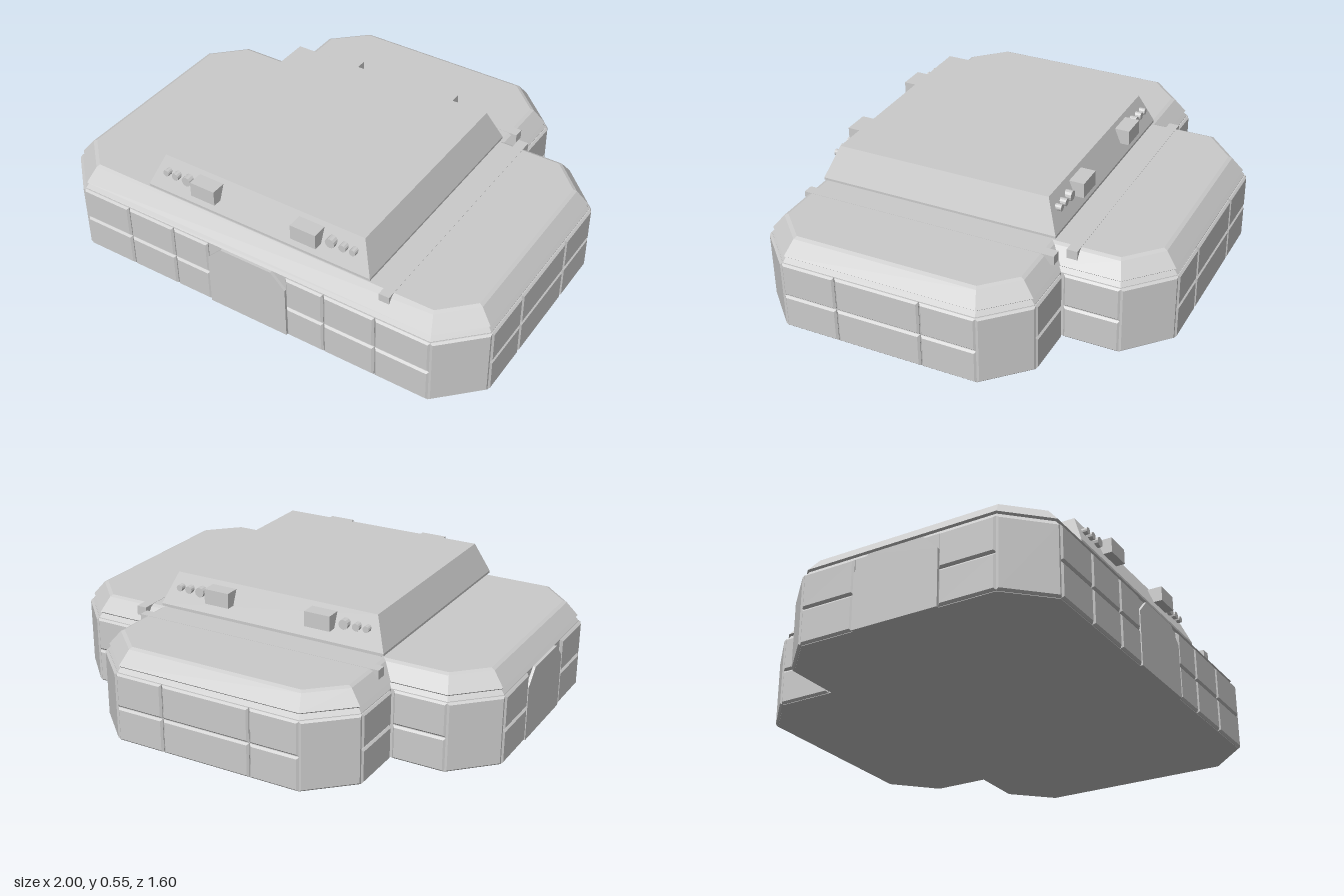
import * as THREE from 'three';

const grey = new THREE.MeshStandardMaterial({ color: 0xcccccc, flatShading: true });

// Footprint corners as [x, z], running so that outward lies on the right of travel
const right = [[0.83, 0.8], [1, 0.63], [1, -0.22], [0.83, -0.39], [0.6, -0.39], [0.6, -0.63], [0.42, -0.8]];
const outline = [...right, ...right.map(([x, z]) => [-x, z]).reverse()];

function mesh(name, geometry, parent, x = 0, y = 0, z = 0) {
  const m = new THREE.Mesh(geometry, grey);
  m.name = name;
  m.position.set(x, y, z);
  parent.add(m);
  return m;
}

// Move every edge of a closed outline inwards by d, with mitred corners
function inset(points, d) {
  const n = points.length;
  const normal = (a, b) => new THREE.Vector2(a[1] - b[1], b[0] - a[0]).normalize();
  return points.map((p, i) => {
    const n1 = normal(points[(i + n - 1) % n], p);
    const n2 = normal(p, points[(i + 1) % n]);
    const k = d / (1 + n1.dot(n2));
    return [p[0] - (n1.x + n2.x) * k, p[1] - (n1.y + n2.y) * k];
  });
}

// Closed solid from rings of [inset, height]
function loft(points, rings) {
  const n = points.length;
  const loops = rings.map(([d, y]) => inset(points, d).map(([x, z]) => [x, y, z]));
  const pos = [];
  for (let r = 0; r < loops.length - 1; r++) {
    const a = loops[r], b = loops[r + 1];
    for (let i = 0; i < n; i++) {
      const j = (i + 1) % n;
      pos.push(...a[i], ...a[j], ...b[j], ...a[i], ...b[j], ...b[i]);
    }
  }
  const bottom = loops[0], top = loops[loops.length - 1];
  const flat = top.map(([x, , z]) => new THREE.Vector2(x, -z));
  for (const [i, j, k] of THREE.ShapeUtils.triangulateShape(flat, [])) {
    pos.push(...top[i], ...top[j], ...top[k], ...bottom[k], ...bottom[j], ...bottom[i]);
  }
  const g = new THREE.BufferGeometry();
  g.setAttribute('position', new THREE.Float32BufferAttribute(pos, 3));
  g.computeVertexNormals();
  return g;
}

// Bevelled wall panel, outer face at z = 0, spanning x0..x1 and y0..y1
function panelGeometry(x0, x1, y0, y1) {
  const m = 0.01;
  const s = new THREE.Shape([
    new THREE.Vector2(x0 + m, y0 + m), new THREE.Vector2(x1 - m, y0 + m),
    new THREE.Vector2(x1 - m, y1 - m), new THREE.Vector2(x0 + m, y1 - m)]);
  return new THREE.ExtrudeGeometry(s, {
    depth: 0.012, bevelEnabled: true, bevelThickness: 0.008, bevelSize: 0.008, bevelSegments: 1
  }).translate(0, 0, -0.02);
}

// Door slab with clipped top corners
function doorGeometry(x0, x1, h) {
  const c = 0.065;
  const s = new THREE.Shape([[x0, 0], [x1, 0], [x1, h - c], [x1 - c, h], [x0 + c, h], [x0, h - c]]
    .map(([x, y]) => new THREE.Vector2(x, y)));
  return new THREE.ExtrudeGeometry(s, { depth: 0.02, bevelEnabled: false }).translate(0, 0, -0.02);
}

// One wall along an outline edge: columns of panels, one column may be a door
function wall(name, a, b, widths, rows, door = -1) {
  const g = new THREE.Group();
  g.name = name;
  const dx = b[0] - a[0], dz = b[1] - a[1];
  g.position.set(a[0], 0, a[1]);
  g.rotation.y = Math.atan2(-dz, dx);
  const scale = Math.hypot(dx, dz) / widths.reduce((s, w) => s + w, 0);
  let x = 0;
  widths.forEach((w, i) => {
    const x1 = x + w * scale;
    if (i === door) mesh('door', doorGeometry(x, x1, 0.3), g);
    else for (let r = 0; r < rows; r++) {
      mesh('wallPanel', panelGeometry(x, x1, r * 0.3 / rows, (r + 1) * 0.3 / rows), g);
    }
    x = x1;
  });
  return g;
}

export function createModel() {
  const model = new THREE.Group();
  model.name = 'bunker';

  // Core with sloped roof edge
  mesh('hull', loft(outline, [
    [0.012, 0], [0.012, 0.3], [0.026, 0.318], [0.018, 0.325], [0.065, 0.383], [0.08, 0.39]
  ]), model);

  // Walls: corners are single columns, straight runs are panelled in two rows
  const n = outline.length;
  outline.forEach((a, i) => {
    const b = outline[(i + 1) % n];
    const diagonal = Math.abs(a[0] - b[0]) > 0.01 && Math.abs(a[1] - b[1]) > 0.01;
    let widths = [1], door = -1, name = diagonal ? 'cornerColumn' : 'shortWall';
    if (i === n - 1) {
      name = 'frontWall';
      widths = [0.24, 0.23, 0.175, 0.37, 0.175, 0.23, 0.24];
      door = 3;
    } else if (i === 1) {
      name = 'leftWall';
      widths = [0.24, 0.37, 0.24];
    } else if (i === n - 3) {
      name = 'rightWall';
      widths = [0.24, 0.37, 0.24];
      door = 1;
    } else if (i === 6) {
      name = 'backWall';
      widths = [0.22, 0.4, 0.22];
    }
    model.add(wall(name, a, b, widths, diagonal ? 1 : 2, door));
  });

  // Beams sunk in the roof, their ends showing at the sloped edge
  mesh('sideRoofBeam', new THREE.BoxGeometry(0.045, 0.04, 1.12), model, 0.605, 0.371, 0.195);
  mesh('backRoofBeam', new THREE.BoxGeometry(1.12, 0.04, 0.045), model, 0, 0.371, -0.41);

  // Raised upper deck
  const upper = new THREE.Group();
  upper.name = 'upperDeck';
  upper.position.z = 0.2;
  model.add(upper);
  const h = 0.525;
  mesh('deckBlock', loft([[-h, h], [h, h], [h, -h], [-h, -h]], [
    [0.015, 0.38], [0.015, 0.395], [0, 0.4], [0, 0.41], [0.055, 0.545]
  ]), upper);

  // Floodlight boxes and round lamps on the front and back slopes
  for (const end of [1, -1]) {
    for (const side of [1, -1]) {
      mesh('floodlight', new THREE.BoxGeometry(0.115, 0.065, 0.075), upper, side * 0.237, 0.493, end * 0.505);
      [[0.34, 0.021], [0.395, 0.016], [0.44, 0.014]].forEach(([x, r]) => {
        mesh('lamp', new THREE.CylinderGeometry(r, r, 0.05, 12).rotateX(Math.PI / 2),
          upper, side * x, 0.49, end * 0.49);
      });
    }
  }
  return model;
}
